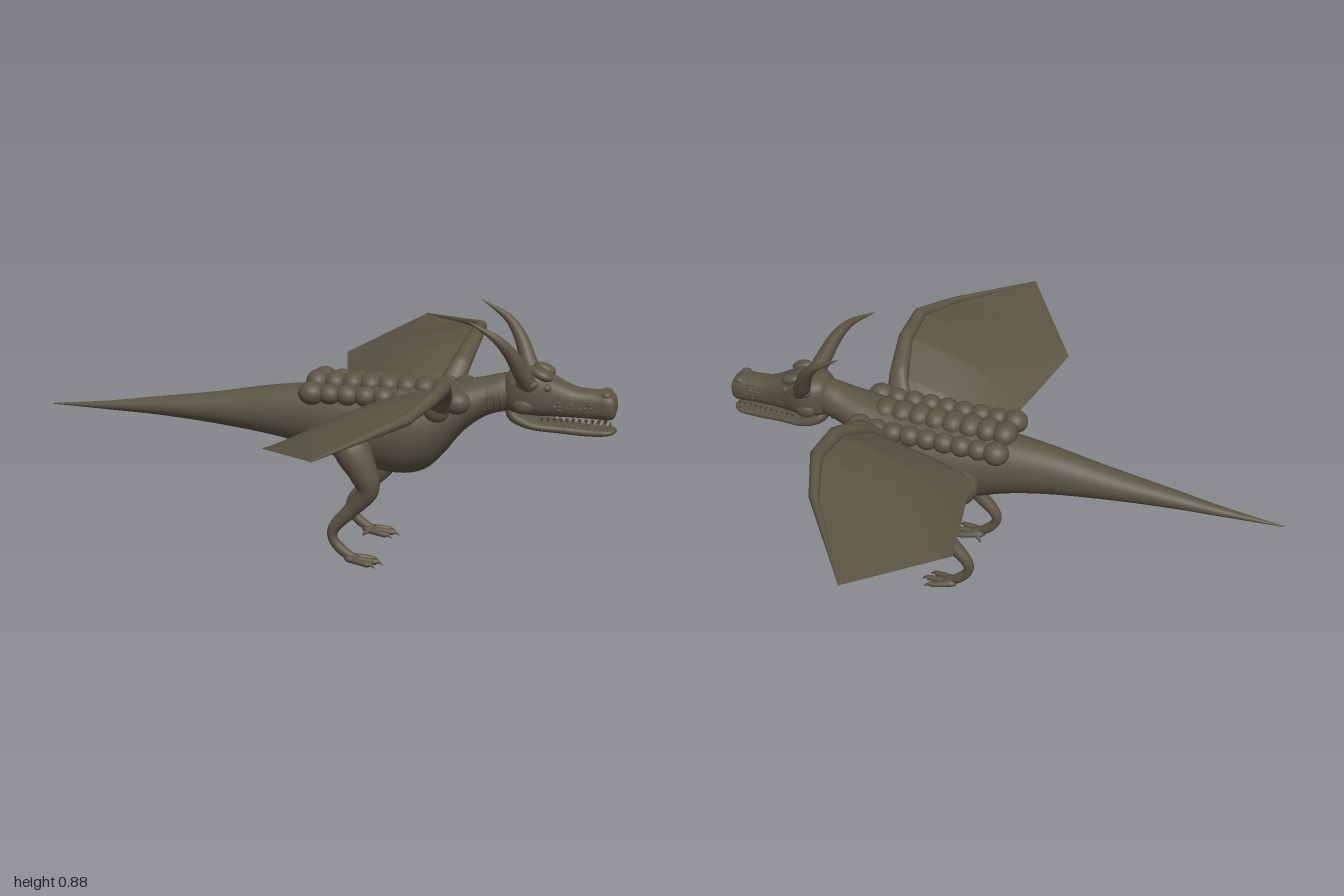
import * as THREE from 'three';
import { ParametricGeometry } from 'three/addons/geometries/ParametricGeometry.js';

const hide = new THREE.MeshStandardMaterial({ color: 0x5a5443, side: THREE.DoubleSide });
hide.name = 'dark olive hide';

export function createModel() {
  const model = new THREE.Group();
  model.name = 'wingedBeast';

  const add = (name, geometry, parent = model) => {
    const mesh = new THREE.Mesh(geometry, hide);
    mesh.name = name;
    parent.add(mesh);
    return mesh;
  };
  const group = (name) => {
    const g = new THREE.Group();
    g.name = name;
    model.add(g);
    return g;
  };
  const vec = (p) => new THREE.Vector3(p[0], p[1], p[2]);
  const spline = (pts) => new THREE.CatmullRomCurve3(pts.map(vec), false, 'catmullrom', 0.5);

  // Skin over sections [x, top, bottom, half width]; power < 1 makes them boxier
  const loft = (sections, power = 1, steps = 64) => {
    const heights = spline(sections);
    const widths = spline(sections.map((s) => [s[3], 0, 0]));
    const round = (c) => Math.sign(c) * Math.pow(Math.abs(c), power);
    return new ParametricGeometry((u, v, out) => {
      const h = heights.getPoint(u);
      const w = Math.max(widths.getPoint(u).x, 0.001);
      const a = v * Math.PI * 2;
      out.set(h.x, (h.y + h.z) / 2 + (h.y - h.z) / 2 * round(Math.sin(a)), w * round(Math.cos(a)));
    }, steps, 32);
  };

  // Tapering tube along points [x, y, z, radius]; ref is never parallel to the path
  const limb = (pts, ref = [0, 0, 1], steps = 32, sides = 16) => {
    const path = spline(pts);
    const radii = spline(pts.map((p) => [p[3], 0, 0]));
    const r0 = vec(ref);
    return new ParametricGeometry((u, v, out) => {
      const t = path.getTangent(v);
      const n = new THREE.Vector3().crossVectors(r0, t).normalize();
      const b = new THREE.Vector3().crossVectors(t, n);
      const r = Math.max(radii.getPoint(v).x, 0.0006);
      const a = u * Math.PI * 2;
      out.copy(path.getPoint(v)).addScaledVector(n, r * Math.cos(a)).addScaledVector(b, r * Math.sin(a));
    }, sides, steps);
  };

  const ballGeometry = new THREE.SphereGeometry(1, 20, 14);
  const ball = (name, x, y, z, rx, ry = rx, rz = rx, parent = model) => {
    const mesh = add(name, ballGeometry, parent);
    mesh.position.set(x, y, z);
    mesh.scale.set(rx, ry, rz);
    return mesh;
  };

  // Tail, trunk and neck in one skin
  add('body', loft([
    [-1, 0.455, 0.451, 0.002], [-0.8, 0.476, 0.446, 0.018], [-0.6, 0.506, 0.44, 0.037],
    [-0.4, 0.536, 0.425, 0.056], [-0.2, 0.573, 0.4, 0.075], [-0.05, 0.592, 0.37, 0.095],
    [0.1, 0.605, 0.325, 0.125], [0.25, 0.61, 0.297, 0.14], [0.35, 0.615, 0.315, 0.135],
    [0.42, 0.625, 0.38, 0.12], [0.48, 0.637, 0.458, 0.101], [0.55, 0.653, 0.515, 0.077],
    [0.62, 0.671, 0.54, 0.063], [0.7, 0.67, 0.55, 0.05],
  ], 1, 96));

  // Head and open lower jaw
  const head = group('head');
  add('skull', loft([
    [0.6, 0.62, 0.6, 0.003], [0.63, 0.678, 0.548, 0.06], [0.68, 0.692, 0.54, 0.083],
    [0.73, 0.695, 0.536, 0.082], [0.78, 0.671, 0.535, 0.064], [0.85, 0.638, 0.535, 0.05],
    [0.92, 0.631, 0.534, 0.048], [0.96, 0.631, 0.533, 0.051], [0.985, 0.616, 0.542, 0.043],
    [0.995, 0.585, 0.578, 0.002],
  ], 0.75), head);
  add('lowerJaw', loft([
    [0.62, 0.545, 0.54, 0.003], [0.64, 0.562, 0.515, 0.055], [0.68, 0.545, 0.497, 0.068],
    [0.73, 0.523, 0.486, 0.063], [0.8, 0.514, 0.48, 0.05], [0.9, 0.506, 0.474, 0.042],
    [0.96, 0.504, 0.478, 0.039], [0.985, 0.504, 0.485, 0.027], [0.995, 0.497, 0.494, 0.002],
  ], 0.8), head);

  // Small teeth along both jaws
  const toothGeometry = new THREE.ConeGeometry(0.006, 0.017, 8);
  for (const s of [-1, 1]) {
    for (let i = 0; i < 11; i++) {
      const x = 0.75 + i * 0.021;
      const wide = 0.05 - 0.012 * (i / 10);
      const upper = add('upperTooth', toothGeometry, head);
      upper.position.set(x, 0.53, s * wide);
      upper.rotation.x = Math.PI;
      add('lowerTooth', toothGeometry, head).position.set(x + 0.01, 0.518 - i * 0.0009, s * (wide - 0.006));
    }
  }

  // Horns, brows, eyes and nostrils
  for (const s of [-1, 1]) {
    add('horn', limb([
      [0.71, 0.64, s * 0.055, 0.03], [0.685, 0.69, s * 0.085, 0.029], [0.65, 0.765, s * 0.123, 0.023],
      [0.6, 0.825, s * 0.15, 0.014], [0.51, 0.88, s * 0.16, 0.001],
    ]), head);
    ball('hornBase', 0.7, 0.655, s * 0.068, 0.04, 0.022, 0.028, head);
    ball('brow', 0.745, 0.682, s * 0.046, 0.038, 0.018, 0.024, head).rotation.z = -0.35;
    ball('eye', 0.763, 0.642, s * 0.058, 0.016, 0.014, 0.014, head);
    ball('nostril', 0.957, 0.62, s * 0.028, 0.018, 0.014, 0.016, head);
    ball('cheek', 0.69, 0.58, s * 0.065, 0.04, 0.03, 0.024, head);
  }

  // Small scales scattered over the muzzle and cheeks
  let seed = 7;
  const random = () => (seed = (seed * 16807) % 2147483647) / 2147483647;
  for (let i = 0; i < 44; i++) {
    const x = 0.78 + random() * 0.18;
    const y = 0.562 + random() * 0.06;
    const side = i % 2 ? 1 : -1;
    const half = x < 0.85 ? 0.061 - (x - 0.78) * 0.2 : 0.046;
    ball('scale', x, y, side * half * (1 - Math.max(0, y - 0.595) * 6), 0.006, 0.006, 0.004, head);
  }

  // Shallow folds on the sides of the neck
  for (const s of [-1, 1]) for (let i = 0; i < 3; i++) {
    const x = 0.565 + i * 0.022;
    const w = 0.07 - i * 0.004;
    add('neckFold', limb([
      [x, 0.63, s * w * 0.85, 0.002], [x + 0.004, 0.595, s * w, 0.005], [x + 0.01, 0.55, s * w * 0.75, 0.002],
    ], [1, 0, 0], 10, 8));
  }

  // Three rows of round plates on the back
  const plates = group('backPlates');
  for (let i = 0; i < 9; i++) {
    const x = -0.025 + i * 0.062;
    const end = i === 0 || i === 8;
    if (i < 8) ball('ridgePlate', x, 0.599 + i * 0.001, 0, 0.042, 0.042 - i * 0.001, 0.052, plates);
    for (const s of [-1, 1]) {
      ball('sidePlate', x, 0.585, s * 0.1, end ? 0.046 : 0.04, end ? 0.04 : 0.035, end ? 0.044 : 0.038, plates);
    }
  }

  // Wings: a jointed arm along the front with a gently domed membrane behind it
  const arm = [[0.405, 0.56, 0.11, 0.045], [0.43, 0.622, 0.16, 0.037], [0.46, 0.695, 0.31, 0.027],
    [0.463, 0.71, 0.46, 0.023], [0.4, 0.675, 0.63, 0.018], [0.18, 0.628, 0.945, 0.002]];
  const rear = [[0.06, 0.478, 0.09], [0.04, 0.485, 0.15], [0.01, 0.507, 0.3],
    [-0.025, 0.525, 0.45], [-0.06, 0.545, 0.61], [0.18, 0.628, 0.945]];
  const along = (pts, t) => {
    const f = t * (pts.length - 1);
    const i = Math.min(Math.floor(f), pts.length - 2);
    return vec(pts[i]).lerp(vec(pts[i + 1]), f - i);
  };
  const armRadii = arm.map((p) => [p[3], 0, 0]);
  for (const s of [-1, 1]) {
    const wing = group(s > 0 ? 'rightWing' : 'leftWing');
    add('wingArm', new ParametricGeometry((u, v, out) => {
      const r = along(armRadii, v).x;
      const c = along(arm, v);
      const a = -s * u * Math.PI * 2;
      out.set(c.x + r * Math.cos(a), c.y + r * Math.sin(a), s * c.z);
    }, 16, 25), wing);
    ball('shoulder', 0.405, 0.56, s * 0.11, 0.046, 0.046, 0.03, wing);
    add('membrane', new ParametricGeometry((u, v, out) => {
      const dome = 0.03 * Math.sin(Math.PI * v) * Math.sin(Math.PI * u);
      out.copy(along(arm, u)).lerp(along(rear, u), v);
      out.y += dome;
      out.z *= s;
    }, 40, 20), wing);
  }

  // Legs with bent hocks and clawed toes
  for (const s of [-1, 1]) {
    const leg = group(s > 0 ? 'rightLeg' : 'leftLeg');
    const z = s * 0.148;
    ball('hip', 0.11, 0.42, s * 0.125, 0.09, 0.065, 0.055, leg).rotation.z = -0.7;
    add('shank', limb([
      [0.09, 0.46, s * 0.118, 0.02], [0.12, 0.41, s * 0.135, 0.06], [0.165, 0.335, s * 0.15, 0.05],
      [0.182, 0.27, s * 0.15, 0.038], [0.13, 0.2, z, 0.028], [0.068, 0.13, z, 0.021],
      [0.062, 0.085, z, 0.017], [0.095, 0.045, z, 0.018], [0.14, 0.018, z, 0.014],
    ], [0, 0, 1], 64), leg);
    ball('foot', 0.128, 0.02, z, 0.028, 0.016, 0.028, leg);
    for (const spread of [-1, 0, 1]) {
      const reach = spread === 0 ? 0.02 : 0;
      add('toe', limb([
        [0.12, 0.02, z + spread * 0.012, 0.013], [0.16, 0.016, z + spread * 0.025, 0.011],
        [0.19 + reach, 0.012, z + spread * 0.031, 0.01], [0.2 + reach, 0.01, z + spread * 0.033, 0.004],
      ], [0, 1, 0], 16, 10), leg);
      add('claw', limb([
        [0.185 + reach, 0.016, z + spread * 0.031, 0.007], [0.2 + reach, 0.014, z + spread * 0.034, 0.006],
        [0.217 + reach, 0.002, z + spread * 0.037, 0.001],
      ], [0, 0, 1], 10, 8), leg);
    }
    add('rearClaw', limb([
      [0.13, 0.02, z - s * 0.02, 0.009], [0.115, 0.012, z - s * 0.034, 0.006], [0.11, 0.002, z - s * 0.04, 0.001],
    ], [1, 0, 0], 8, 8), leg);
  }

  return model;
}
